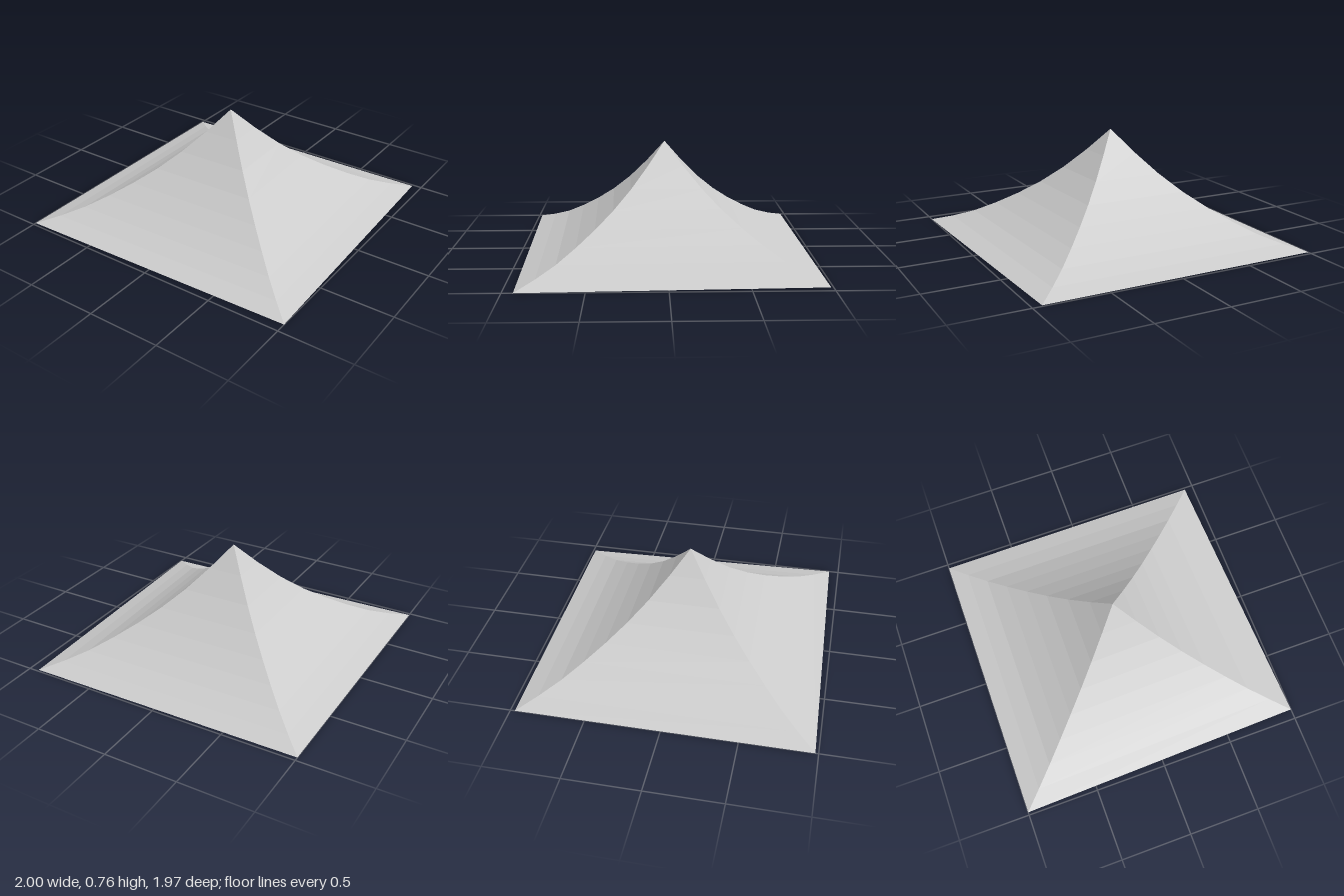
import * as THREE from 'three';

// Slightly irregular base outline (x, z), counter-clockwise seen from above
const corners = [[-1, 0.98], [1, 0.93], [0.935, -0.985], [-1, -0.97]];
const apex = [-0.025, 0.757, 0.005];
// Heights of the sagging slope at equal steps from rim to apex
const heights = [0, 0.042, 0.095, 0.168, 0.252, 0.349, 0.465, 0.603, 0.757];

// Point on a hip line, a given number of steps up from a corner
function hipPoint([x, z], step) {
  const t = step / (heights.length - 1);
  return [x + (apex[0] - x) * t, heights[step], z + (apex[2] - z) * t];
}

// One curved roof face between two neighbouring hips
function slopeGeometry(a, b) {
  const positions = [];
  const last = heights.length - 2;
  for (let i = 0; i <= last; i++) {
    const a0 = hipPoint(a, i), b0 = hipPoint(b, i);
    const a1 = hipPoint(a, i + 1), b1 = hipPoint(b, i + 1);
    positions.push(...a0, ...b0, ...b1);
    if (i < last) positions.push(...a0, ...b1, ...a1);
  }
  const geometry = new THREE.BufferGeometry();
  geometry.setAttribute('position', new THREE.Float32BufferAttribute(positions, 3));
  geometry.computeVertexNormals();
  return geometry;
}

export function createModel() {
  const group = new THREE.Group();
  group.name = 'canopyRoof';
  // Thin open shell, visible from below as well
  const material = new THREE.MeshStandardMaterial({
    color: 0xcccccc, flatShading: true, side: THREE.DoubleSide,
  });
  ['frontSlope', 'leftSlope', 'backSlope', 'rightSlope'].forEach((name, i) => {
    const mesh = new THREE.Mesh(slopeGeometry(corners[i], corners[(i + 1) % 4]), material);
    mesh.name = name;
    group.add(mesh);
  });
  return group;
}
